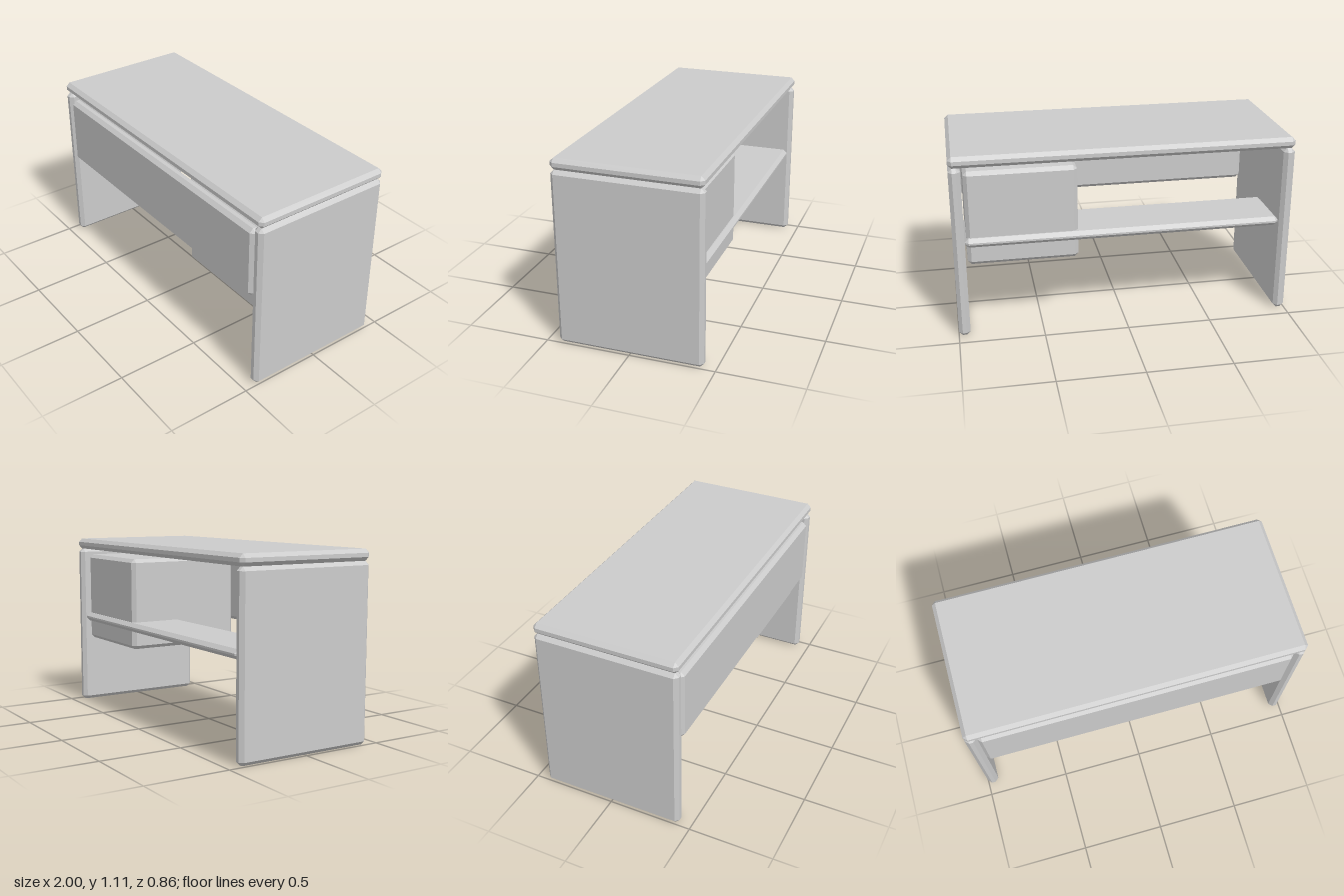
import * as THREE from 'three';
import { ConvexGeometry } from 'three/addons/geometries/ConvexGeometry.js';

const material = new THREE.MeshStandardMaterial({ color: 0xcccccc, flatShading: true });
const CHAMFER = 0.022;

// Box between two corners with every edge chamfered
function board(name, min, max, c = CHAMFER) {
  const size = max.map((v, i) => (v - min[i]) / 2);
  const points = [];
  for (const sx of [-1, 1]) for (const sy of [-1, 1]) for (const sz of [-1, 1]) {
    // each corner becomes three points, one on each adjoining face
    for (let face = 0; face < 3; face++) {
      const h = size.map((s, i) => (i === face ? s : s - c));
      points.push(new THREE.Vector3(sx * h[0], sy * h[1], sz * h[2]));
    }
  }
  const mesh = new THREE.Mesh(new ConvexGeometry(points), material);
  mesh.name = name;
  mesh.position.set(...min.map((v, i) => (v + max[i]) / 2));
  return mesh;
}

export function createModel() {
  const desk = new THREE.Group();
  desk.name = 'desk';

  // Worktop
  desk.add(board('worktop', [-1, 1.041, -0.43], [1, 1.108, 0.43]));

  // Full-depth side panels carrying the top
  desk.add(board('leftSidePanel', [0.932, 0, -0.43], [1, 1.041, 0.43]));
  desk.add(board('rightSidePanel', [-1, 0, -0.43], [-0.932, 1.041, 0.43]));

  // Front modesty panel, flush with the side panels
  desk.add(board('frontPanel', [-0.932, 0.577, 0.362], [0.932, 1.004, 0.43]));

  // Drawer cabinet behind the front panel
  desk.add(board('drawerCabinet', [0.277, 0.435, -0.384], [0.921, 1.003, 0.362]));

  // Shelf running between the side panels at the back
  desk.add(board('shelf', [-0.932, 0.552, -0.412], [0.932, 0.607, -0.05]));

  return desk;
}
